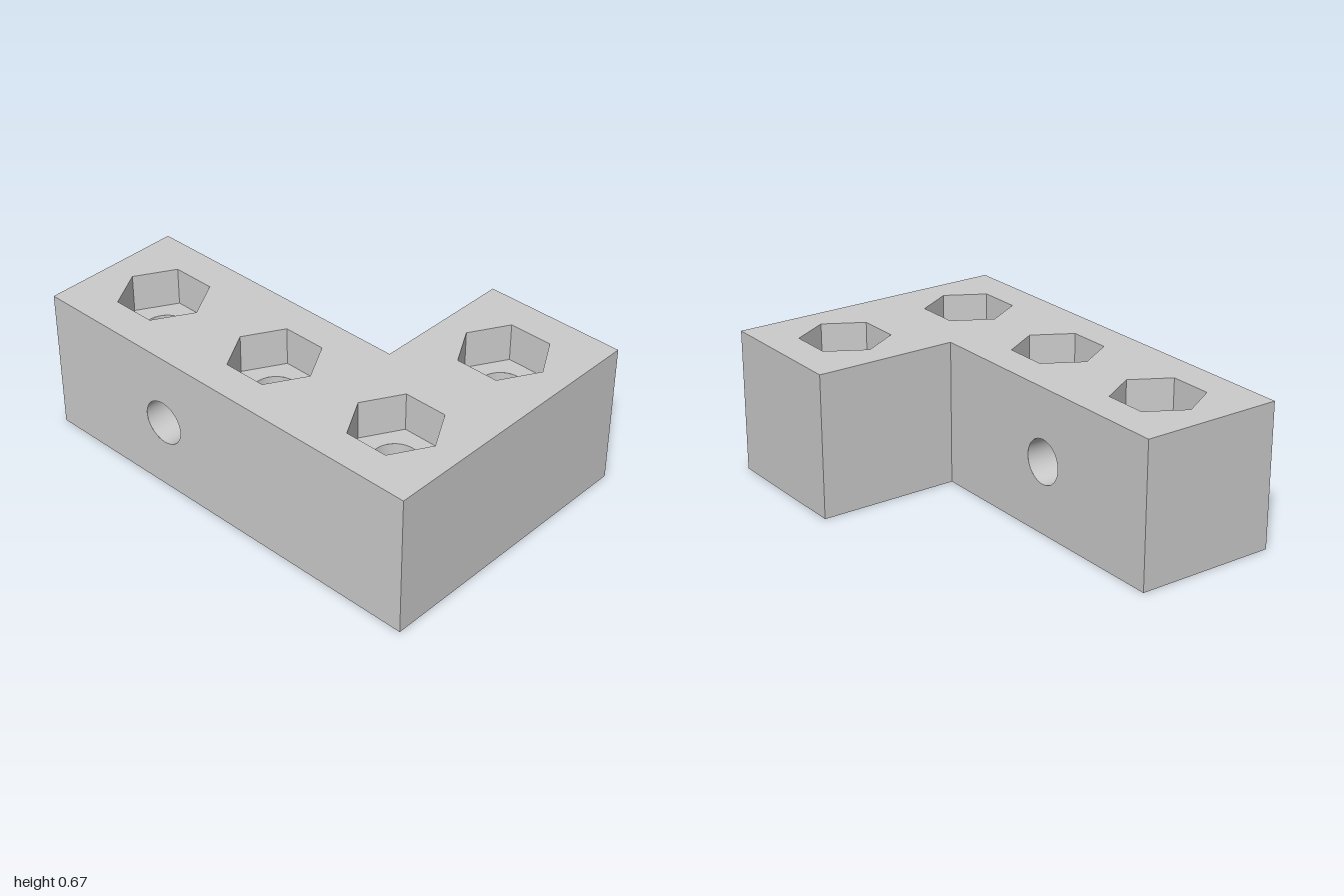
import * as THREE from 'three';

const U = 2 / 3;          // block module: height and arm width
const BORE = 0.102;       // bolt hole radius
const HEX = 0.202;        // nut pocket corner radius
const DEPTH = 0.178;      // nut pocket depth
const SEG = 48;

const grey = new THREE.MeshStandardMaterial({ color: 0xcccccc });
const flatGrey = new THREE.MeshStandardMaterial({ color: 0xcccccc, flatShading: true });

// L-shaped outline as [x, z], and bolt centres
const outline = [[-U, 1], [U, 1], [U, 1 / 3], [0, 1 / 3], [0, -1], [-U, -1]];
const bolts = [[-U / 2, -U], [-U / 2, 0], [-U / 2, U], [U / 2, U]];

function circle(cx, cy, r) {
  return new THREE.Path().absarc(cx, cy, r, 0, Math.PI * 2, true);
}

function hexPoints(cx, cy) {
  return Array.from({ length: 6 }, (_, i) => {
    const a = Math.PI / 2 + i * Math.PI / 3;
    return new THREE.Vector2(cx + HEX * Math.cos(a), cy + HEX * Math.sin(a));
  });
}

// Horizontal face from a shape drawn in (x, -z); dir is +1 facing up, -1 facing down
function level(shape, y, dir) {
  const g = new THREE.ShapeGeometry(shape, SEG);
  g.rotateX(-Math.PI / 2);
  if (dir < 0) flip(g);
  return g.translate(0, y, 0);
}

// Turn a surface inside out
function flip(g) {
  const idx = g.index.array;
  for (let i = 0; i < idx.length; i += 3) [idx[i], idx[i + 1]] = [idx[i + 1], idx[i]];
  const n = g.attributes.normal;
  for (let i = 0; i < n.array.length; i++) n.array[i] *= -1;
  return g;
}

// Inward-facing tube along y
function innerTube(r, height, sides) {
  return flip(new THREE.CylinderGeometry(r, r, height, sides, 1, true));
}

export function createModel() {
  const model = new THREE.Group();
  const add = (name, geometry, material = grey) => {
    const mesh = new THREE.Mesh(geometry, material);
    mesh.name = name;
    model.add(mesh);
    return mesh;
  };

  // Top and bottom faces with hexagonal openings
  const plate = new THREE.Shape(outline.map(([x, z]) => new THREE.Vector2(x, -z)));
  for (const [x, z] of bolts) plate.holes.push(new THREE.Path(hexPoints(x, -z)));
  add('topFace', level(plate, U, 1));
  add('bottomFace', level(plate, 0, -1));

  // Outer walls; the long arm's two side walls carry the cross bore
  outline.forEach(([x0, z0], i) => {
    const [x1, z1] = outline[(i + 1) % outline.length];
    const dx = x1 - x0, dz = z1 - z0, len = Math.hypot(dx, dz);
    const wall = new THREE.Shape([[0, 0], [len, 0], [len, U], [0, U]].map(p => new THREE.Vector2(...p)));
    if (dx === 0 && x0 <= 0) wall.holes.push(circle(Math.abs(z0 + U / 2), U / 2, BORE));
    const mesh = add('outerWall', new THREE.ShapeGeometry(wall, SEG));
    mesh.position.set(x0, 0, z0);
    mesh.rotation.y = Math.atan2(-dz, dx);
  });

  // Cross bore through the long arm
  const cross = add('crossBore', innerTube(BORE, U, SEG));
  cross.rotation.z = Math.PI / 2;
  cross.position.set(-U / 2, U / 2, -U / 2);

  // Bolt holes with a nut pocket at each end
  for (const [x, z] of bolts) {
    add('boltBore', innerTube(BORE, U - 2 * DEPTH, SEG)).position.set(x, U / 2, z);
    const ledge = new THREE.Shape(hexPoints(x, -z));
    ledge.holes.push(circle(x, -z, BORE));
    for (const dir of [1, -1]) {
      const y = U / 2 + dir * (U / 2 - DEPTH);
      add('pocketFloor', level(ledge, y, dir));
      add('pocketWall', innerTube(HEX, DEPTH, 6), flatGrey).position.set(x, y + dir * DEPTH / 2, z);
    }
  }
  return model;
}
